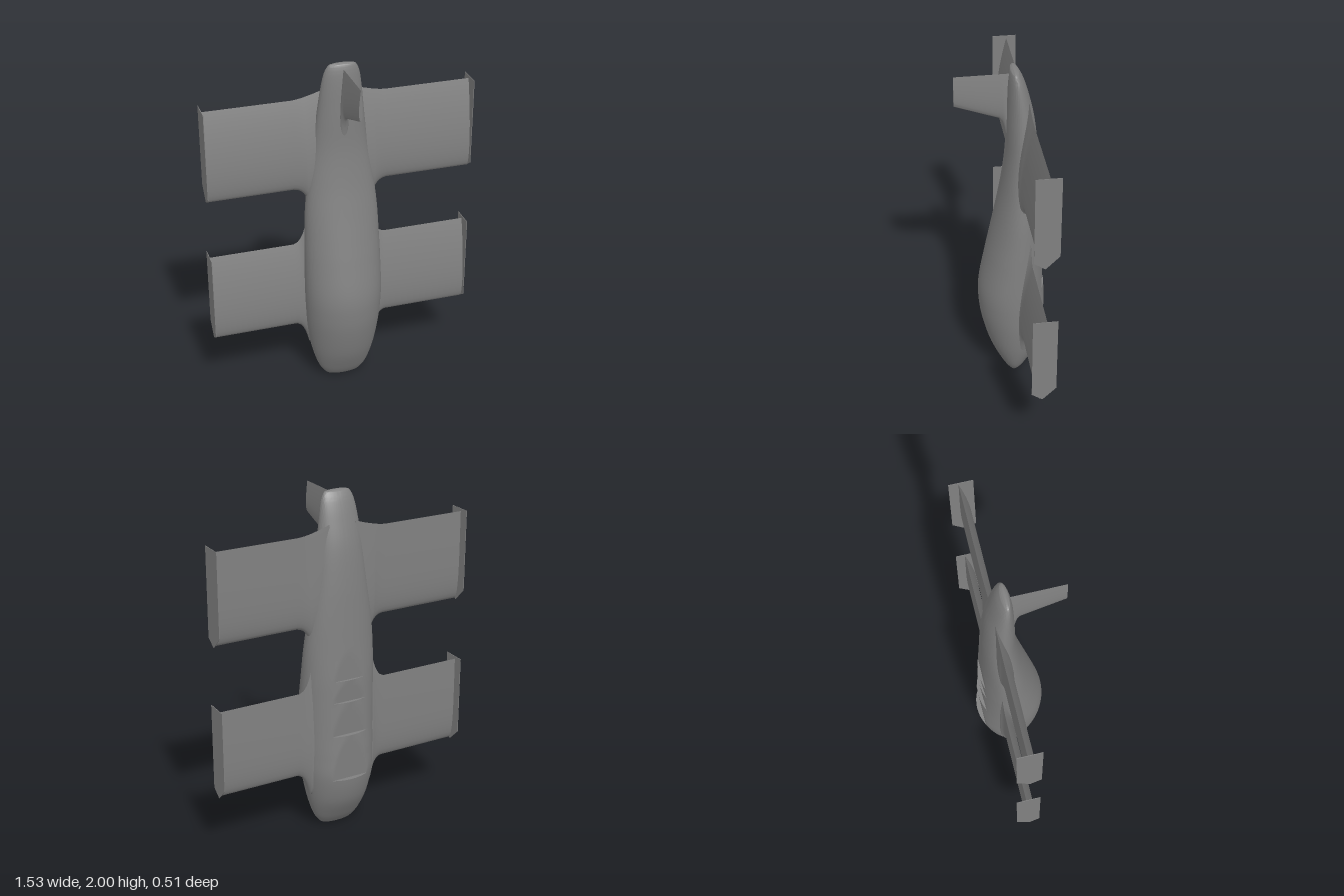
import * as THREE from 'three';
import { toCreasedNormals } from 'three/addons/utils/BufferGeometryUtils.js';

const material = new THREE.MeshStandardMaterial({ color: 0x808080 });
const thinMaterial = new THREE.MeshStandardMaterial({ color: 0x808080, side: THREE.DoubleSide });

// Skin a list of equal-length closed rings, with both ends closed to a point.
function loft(rings, crease, flip = false) {
  const n = rings[0].length;
  const collapse = (ring) => {
    const c = ring.reduce((s, p) => s.map((v, k) => v + p[k] / n), [0, 0, 0]);
    return ring.map(() => c);
  };
  const all = [collapse(rings[0]), ...rings, collapse(rings[rings.length - 1])];
  const index = [];
  for (let i = 0; i < all.length - 1; i++) {
    for (let j = 0; j < n; j++) {
      const k = (j + 1) % n;
      const a = i * n + j, b = (i + 1) * n + j, c = i * n + k, d = (i + 1) * n + k;
      if (flip) index.push(a, c, b, c, d, b);
      else index.push(a, b, c, c, b, d);
    }
  }
  const geometry = new THREE.BufferGeometry();
  geometry.setAttribute('position', new THREE.Float32BufferAttribute(all.flat(2), 3));
  geometry.setIndex(index);
  return toCreasedNormals(geometry, crease);
}

// Airfoil outline as [chord fraction, signed half thickness], starting at the trailing edge.
function airfoil(steps = 16) {
  const points = [];
  for (let i = 0; i < steps * 2; i++) {
    const c = (1 + Math.cos((i / steps) * Math.PI)) / 2;
    const t = 2.969 * Math.sqrt(c) - 1.26 * c - 3.516 * c ** 2 + 2.843 * c ** 3 - 1.036 * c ** 4;
    points.push([c, i <= steps ? t : -t]);
  }
  return points;
}

function add(group, name, geometry, mat = material) {
  const mesh = new THREE.Mesh(geometry, mat);
  mesh.name = name;
  group.add(mesh);
}

// Fuselage: height, half width, front z, back z
const BODY = [
  [0, 0.045, -0.056, -0.074],
  [0.005, 0.082, -0.04, -0.09],
  [0.02, 0.108, -0.02, -0.107],
  [0.08, 0.148, 0.018, -0.152],
  [0.2, 0.186, 0.073, -0.218],
  [0.35, 0.211, 0.115, -0.254],
  [0.48, 0.221, 0.135, -0.25],
  [0.62, 0.225, 0.135, -0.24],
  [0.82, 0.222, 0.098, -0.23],
  [0.95, 0.218, 0.071, -0.225],
  [1.12, 0.21, 0.036, -0.214],
  [1.3, 0.19, 0.004, -0.206],
  [1.5, 0.158, -0.018, -0.196],
  [1.7, 0.134, -0.022, -0.176],
  [1.85, 0.116, -0.027, -0.143],
  [1.94, 0.1, -0.034, -0.115],
  [1.985, 0.08, -0.043, -0.092],
  [1.996, 0.061, -0.051, -0.081],
  [2, 0.035, -0.059, -0.072],
];

// Hull steps: ledge height, z there, end height, z there
const STEPS = [
  [0.35, -0.226, 0.62, -0.24],
  [0.62, -0.215, 0.82, -0.23],
  [0.82, -0.211, 0.95, -0.225],
  [0.95, -0.21, 1.12, -0.214],
];

function fuselageGeometry() {
  const front = new THREE.CatmullRomCurve3(BODY.map(([y, w, f]) => new THREE.Vector3(w, y, f)), false, 'catmullrom');
  const back = new THREE.CatmullRomCurve3(BODY.map(([y, w, , b]) => new THREE.Vector3(w, y, b)), false, 'catmullrom');
  const sides = 112, per = 6, total = (BODY.length - 1) * per;
  const rings = [];
  const ring = (u, step) => {
    const f = front.getPoint(u), b = back.getPoint(u);
    const mid = (f.z + b.z) / 2, depth = (f.z - b.z) / 2;
    const cut = step ? THREE.MathUtils.mapLinear(f.y, step[0], step[2], step[1], step[3]) : -1;
    rings.push(Array.from({ length: sides }, (_, j) => {
      const a = (j / sides) * Math.PI * 2;
      return [f.x * Math.cos(a), f.y, Math.max(mid + depth * Math.sin(a), cut)];
    }));
  };
  for (let i = 0; i <= total; i++) {
    const y = front.getPoint(i / total).y;
    const ending = STEPS.find((s) => y > s[0] + 1e-4 && y <= s[2] + 1e-4);
    const starting = STEPS.find((s) => Math.abs(y - s[0]) < 1e-4);
    ring(i / total, ending);
    if (starting) ring(i / total, starting); // sharp ledge
  }
  return loft(rings, 0.85);
}

// Wing with a flared root; side is +1 for left, -1 for right
function wingGeometry(w, side) {
  const stations = [[0.08, 1], [0.14, 1], [0.195, 1], [0.205, 0.72], [0.215, 0.48], [0.228, 0.27], [0.245, 0.1], [0.27, 0], [0.765, 0]];
  const rings = stations.map(([x, flare]) => {
    const broad = (Math.max(0.27 - x, 0) / 0.19) ** 1.5;
    const le = w.le - w.leFlare * flare;
    const te = w.te + w.teFlare * flare + w.teSweep * broad;
    const half = 0.03 + w.thickFlare * flare;
    return airfoil().map(([c, t]) => [side * x, le + c * (te - le), -0.103 - 0.032 * c * c - t * half]);
  });
  return loft(rings, 0.7, side < 0);
}

// Thin plate at the wing tip, pointed toward the nose
function endPlateGeometry(w, side) {
  const outline = [[-0.055, w.te + 0.015], [-0.19, w.te + 0.015], [-0.19, w.le + 0.07], [-0.115, w.le - 0.005], [-0.055, w.le + 0.035]];
  const shape = new THREE.Shape(outline.map(([z, y]) => new THREE.Vector2(-z, y)));
  const geometry = new THREE.ExtrudeGeometry(shape, { depth: 0.003, bevelEnabled: false });
  geometry.rotateY(Math.PI / 2);
  geometry.translate(side * 0.765 - 0.0015, 0, 0);
  return geometry;
}

// Fin on the front of the tail: z, leading edge height, half thickness
function finGeometry() {
  const stations = [[-0.07, 1.54, 0.026], [-0.024, 1.57, 0.024], [-0.015, 1.635, 0.022], [-0.004, 1.682, 0.019], [0.012, 1.706, 0.016], [0.257, 1.795, 0.01]];
  return loft(stations.map(([z, le, half]) => airfoil().map(([c, t]) => [t * half, le + c * (1.97 - le), z])), 0.7);
}

export function createModel() {
  const model = new THREE.Group();
  model.name = 'tandemWingCraft';
  add(model, 'fuselage', fuselageGeometry());
  add(model, 'tailFin', finGeometry());

  const wings = {
    lower: { le: 0.37, te: 0.89, leFlare: 0.14, teFlare: 0.13, teSweep: 0, thickFlare: 0.018 },
    upper: { le: 1.26, te: 1.785, leFlare: 0.06, teFlare: 0, teSweep: 0.045, thickFlare: 0.01 },
  };
  for (const [level, w] of Object.entries(wings)) {
    for (const side of [1, -1]) {
      const label = level + (side > 0 ? 'Left' : 'Right');
      add(model, label + 'Wing', wingGeometry(w, side));
      add(model, label + 'EndPlate', endPlateGeometry(w, side), thinMaterial);
    }
  }
  return model;
}
